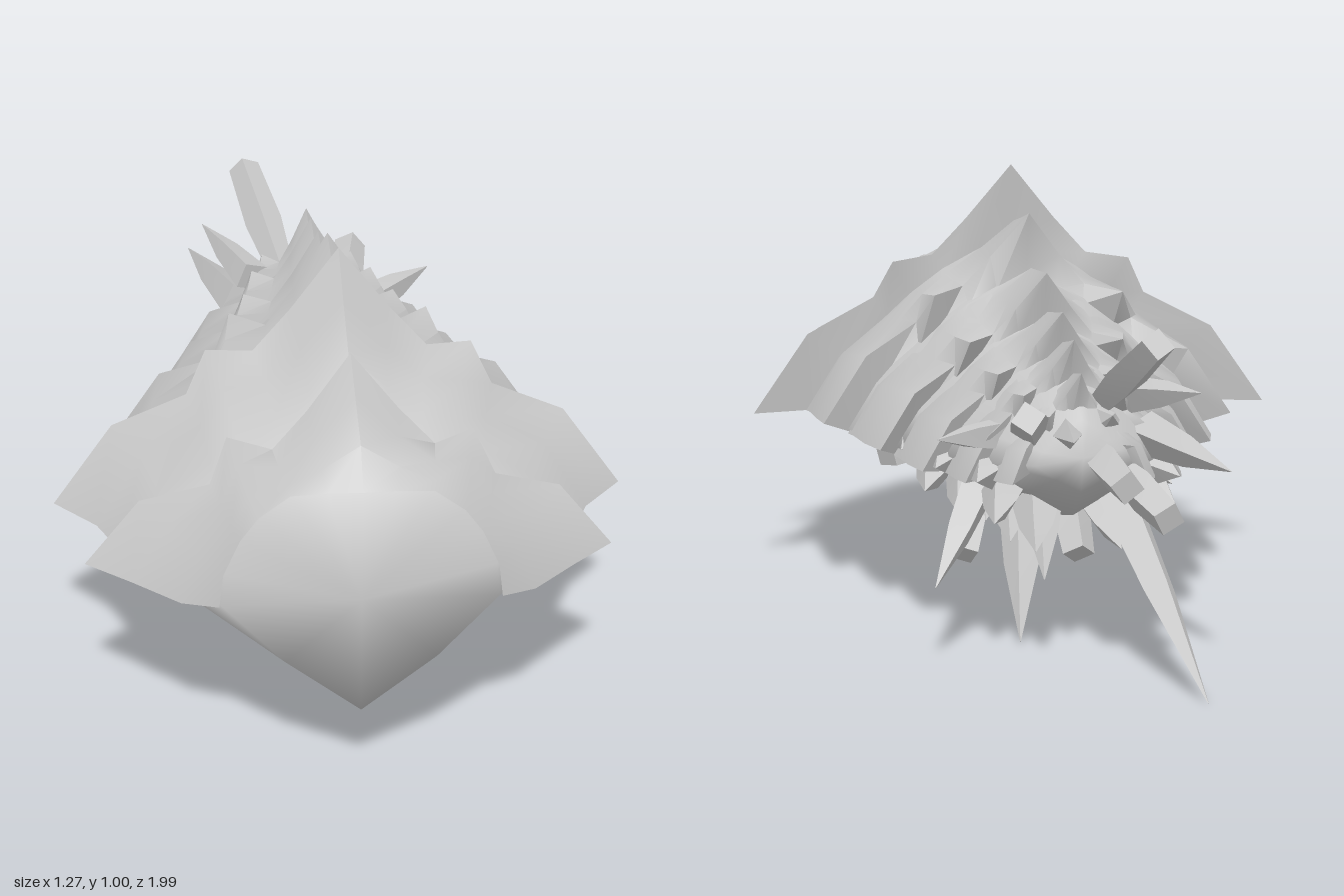
import * as THREE from 'three';
import { toCreasedNormals } from 'three/addons/utils/BufferGeometryUtils.js';

const material = new THREE.MeshStandardMaterial({ color: 0xcccccc, side: THREE.DoubleSide });

// Half profiles from the ridge to the flank: [x / halfWidth, height fraction, notch depth]
const ROUND = [[0, 1, 0], [0.25, 0.995, 0.005], [0.5, 0.97, 0.012], [0.72, 0.78, 0.018], [0.85, 0.58, 0.022], [0.97, 0.28, 0.025], [1, 0, 0.025]];
const RIDGED = [[0, 1, 0], [0.17, 0.9, 0], [0.33, 0.8, 0], [0.5, 0.65, 0], [0.62, 0.52, 0], [0.84, 0.3, 0], [1, 0, 0]];
const TOOTHED = [[0, 1, 0], [0.17, 0.78, 0.06], [0.3, 0.63, 0.09], [0.46, 0.61, 0], [0.53, 0.46, 0.08], [0.79, 0.32, 0.01], [1, 0, 0]];

// Arch from the left flank over the ridge to the right flank
function arch(profile, z, w, top, base, notch = 1) {
  const sign = profile === ROUND ? -1 : 1;
  const half = profile.map(([u, v, d]) => [u * w, base + v * (top - base), z + sign * d * notch]);
  const mirrored = half.slice(1).map(([x, y, d]) => [-x, y, d]);
  return [...half.reverse(), ...mirrored];
}

// Skin over a list of rings that run from front to back
function loft(name, rings, crease, closed = false) {
  const n = rings[0].length;
  const index = [];
  for (let i = 0; i < rings.length - 1; i++) {
    for (let j = 0; j < (closed ? n : n - 1); j++) {
      const k = (j + 1) % n;
      const a = i * n + j, b = i * n + k, c = a + n, d = b + n;
      index.push(a, c, b, b, c, d);
    }
  }
  const geometry = new THREE.BufferGeometry();
  geometry.setAttribute('position', new THREE.Float32BufferAttribute(rings.flat(2), 3));
  geometry.setIndex(index);
  const mesh = new THREE.Mesh(toCreasedNormals(geometry, crease), material);
  mesh.name = name;
  return mesh;
}

// Tapered four-sided spine from base to tip; a larger tip radius gives a blunt peg
function spine(name, base, tip, radius, tipRadius = 0.001) {
  const from = new THREE.Vector3(...base);
  const dir = new THREE.Vector3(...tip).sub(from);
  const geometry = new THREE.CylinderGeometry(tipRadius, radius, dir.length(), 4, 2);
  // Slight swelling halfway along
  const p = geometry.attributes.position;
  for (let i = 0; i < p.count; i++) {
    if (Math.abs(p.getY(i)) < 1e-4) p.setXYZ(i, p.getX(i) * 1.35, 0, p.getZ(i) * 1.35);
  }
  const mesh = new THREE.Mesh(toCreasedNormals(geometry, 0.7), material);
  mesh.position.copy(from).addScaledVector(dir, 0.5);
  mesh.quaternion.setFromUnitVectors(new THREE.Vector3(0, 1, 0), dir.normalize());
  mesh.name = name;
  return mesh;
}

export function createModel() {
  const group = new THREE.Group();

  // Body core: [z, halfWidth, top, flank height, keel]
  const sections = [
    [0.995, 0.29, 0.715, 0.45, 0.19], [0.7, 0.46, 0.74, 0.415, 0.21], [0.42, 0.5, 0.82, 0.4, 0.235],
    [0.12, 0.42, 0.76, 0.4, 0.295], [-0.12, 0.34, 0.68, 0.4, 0.27], [-0.35, 0.25, 0.64, 0.42, 0.28],
    [-0.5, 0.18, 0.6, 0.43, 0.31], [-0.6, 0.1, 0.54, 0.44, 0.38],
  ];
  const rings = sections.map(([z, w, top, flank, keel], i) => {
    const drop = flank - keel;
    const back = i ? 0 : 0.015;
    const under = [[-0.55, 0.52], [0, 1], [0.55, 0.52]].map(([u, v]) => [u * w, flank - v * drop, z - back]);
    return [...arch(i ? RIDGED : ROUND, z, w, top, flank), ...under];
  });
  const cap = (z, y) => rings[0].map(() => [0, y, z]);
  group.add(loft('body', [cap(0.985, 0.46), ...rings, cap(-0.63, 0.46)], 1.8, true));

  // Overlapping plates: front [z, halfWidth, top, base], back edge likewise, depth of the notches
  const plates = [
    [[1.0, 0.295, 0.72, 0.45], [0.7, 0.57, 0.89, 0.41], 0.9],
    [[0.72, 0.465, 0.75, 0.42], [0.405, 0.635, 1.0, 0.4], 0.4],
    [[0.43, 0.505, 0.83, 0.4], [0.12, 0.49, 0.91, 0.42], 1],
    [[0.15, 0.43, 0.77, 0.39], [-0.14, 0.385, 0.8, 0.4], 0.7],
    [[-0.1, 0.35, 0.69, 0.38], [-0.36, 0.315, 0.74, 0.39], 0.7],
    [[-0.32, 0.265, 0.65, 0.38], [-0.51, 0.24, 0.7, 0.39], 0.7],
    [[-0.47, 0.19, 0.61, 0.39], [-0.6, 0.15, 0.64, 0.4], 0.7],
  ];
  plates.forEach(([f, b, notch], i) => {
    const front = arch(i ? RIDGED : ROUND, ...f);
    const back = arch(TOOTHED, ...b, notch);
    // Ridge rises early, flanks flare late: blend fractions for x, y, z
    const blend = (t) => front.map((p, j) => p.map((v, k) => v + (back[j][k] - v) * t[k]));
    const early = blend([i ? 0.15 : 0.28, 0.45, 0.2]);
    const late = blend([i ? 0.45 : 0.65, 0.72, 0.62]);
    // Rear wall tucked in towards the next plate
    const next = plates[i + 1]?.[0] ?? [-0.56, 0.1, 0.54, 0.42];
    const inner = arch(RIDGED, next[0] + 0.01, next[1] * 0.97, next[2] - 0.01, next[3]);
    group.add(loft('plate' + (i + 1), [front, early, late, back, inner], 0.8));
  });

  // Rear plates continue around the underside as rings of broad teeth: [z, halfWidth, keel, length]
  const toothRings = [[-0.02, 0.34, 0.28, 0.14], [-0.24, 0.28, 0.28, 0.16], [-0.42, 0.2, 0.3, 0.17]];
  toothRings.forEach(([z, w, keel, length]) => {
    for (const side of [-1, 1]) {
      [-5, -32, -65].forEach((degrees, i) => {
        const a = THREE.MathUtils.degToRad(degrees);
        const x = side * Math.cos(a) * w * 0.82;
        const y = 0.42 + Math.sin(a) * (0.42 - keel) * 0.85;
        const reach = length * (i % 2 ? 1.1 : 0.9);
        const tip = [x + side * Math.cos(a) * 0.06, y + Math.sin(a) * 0.09, z - reach];
        group.add(spine('flankTooth', [x, y, z], tip, 0.055));
      });
    }
  });

  // Long spines under the rear and around the tail end: base, tip, radius
  const spines = [
    [[-0.18, 0.3, 0.0], [-0.243, 0.06, -0.2], 0.06],
    [[0.05, 0.3, -0.1], [0.105, 0.01, -0.42], 0.06],
    [[-0.1, 0.36, -0.45], [-0.2, 0.005, -0.99], 0.055],
    [[0.18, 0.36, -0.32], [0.315, 0.175, -0.58], 0.05],
    [[-0.1, 0.34, -0.25], [-0.16, 0.17, -0.52], 0.05],
    [[0.05, 0.36, -0.38], [0.08, 0.19, -0.6], 0.05],
    [[-0.17, 0.48, -0.45], [-0.28, 0.46, -0.83], 0.05],
    [[0.02, 0.5, -0.5], [0.045, 0.52, -0.77], 0.04],
    [[0.14, 0.48, -0.42], [0.31, 0.5, -0.58], 0.045],
    [[-0.14, 0.56, -0.42], [-0.25, 0.6, -0.66], 0.045],
  ];
  spines.forEach(([base, tip, r]) => group.add(spine('spine', base, tip, r)));

  // Blunt pegs: base, tip
  const pegs = [
    [[-0.06, 0.32, -0.02], [-0.07, 0.15, -0.17]], [[0.15, 0.32, -0.03], [0.2, 0.16, -0.18]],
    [[-0.06, 0.54, -0.46], [-0.14, 0.72, -0.74]], [[-0.04, 0.46, -0.52], [-0.07, 0.42, -0.77]],
    [[-0.09, 0.42, -0.5], [-0.16, 0.35, -0.77]], [[0.08, 0.48, -0.45], [0.12, 0.55, -0.63]],
    [[0.3, 0.39, 0.02], [0.36, 0.37, -0.03]],
  ];
  pegs.forEach(([base, tip]) => group.add(spine('peg', base, tip, 0.03, 0.038)));

  return group;
}
